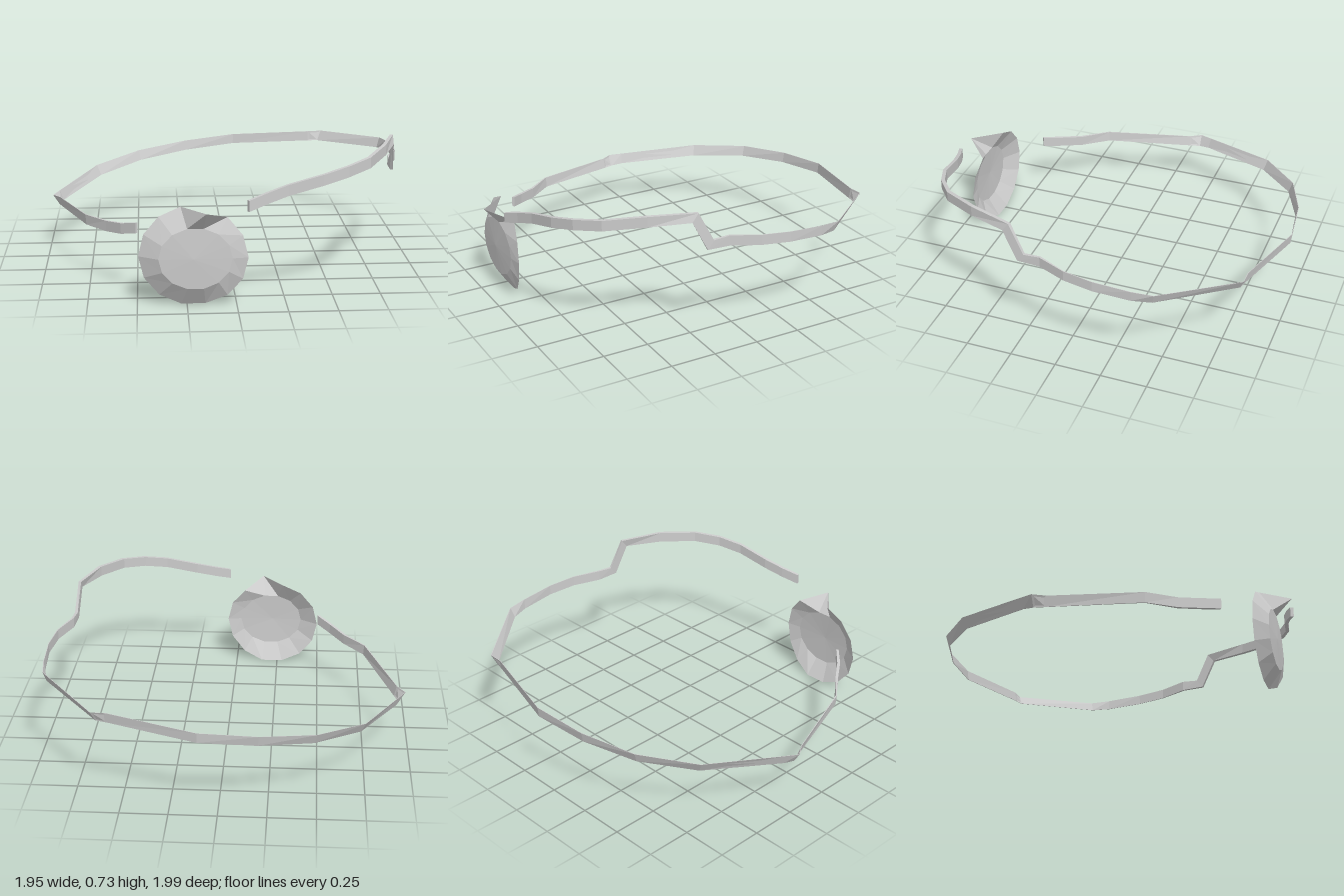
import * as THREE from 'three';

// Builds a faceted surface from a list of quads given as corner points
function facets(quads, material, name) {
  const pos = [];
  for (const [a, b, c, d] of quads) {
    for (const p of [a, b, c, a, c, d]) pos.push(...p);
  }
  const geo = new THREE.BufferGeometry();
  geo.setAttribute('position', new THREE.Float32BufferAttribute(pos, 3));
  geo.computeVertexNormals();
  const mesh = new THREE.Mesh(geo, material);
  mesh.name = name;
  return mesh;
}

// Band stations: x, z, bottom height, outward lean of the top, thickness, slant of the top in z
const STATIONS = [
  [0.05, 0.957, 0.508, 0, 0.018],
  [0.14, 0.92, 0.535, 0, 0.02],
  [0.25, 0.887, 0.567, 0, 0.02],
  [0.43, 0.86, 0.61, 0, 0.02],
  [0.56, 0.805, 0.637, 0, 0.02],
  [0.68, 0.71, 0.658, 0, 0.02],
  [0.79, 0.52, 0.68, 0, 0.02],
  [0.87, 0.315, 0.69, 0, 0.016, -0.035],
  [0.885, 0.235, 0.532, 0, 0.016, -0.035],
  [0.89, 0.11, 0.528, 0, 0.012],
  [0.95, -0.04, 0.52, 0, 0.005],
  [0.972, -0.2, 0.51, 0, 0.003],
  [0.96, -0.4, 0.495, 0.004, 0.003],
  [0.93, -0.5, 0.488, 0.022, 0.003],
  [0.62, -0.86, 0.455, 0.032, 0.003],
  [0.56, -0.874, 0.452, 0.008, 0.003],
  [0.1, -0.99, 0.415, 0.006, 0.003],
  [-0.2, -0.948, 0.385, 0.012, 0.003],
  [-0.48, -0.84, 0.35, 0.022, 0.003],
  [-0.72, -0.63, 0.31, 0.03, 0.003],
  [-0.925, -0.23, 0.263, 0.02, 0.003],
  [-0.94, -0.17, 0.255, 0.036, 0.003],
  [-0.92, -0.11, 0.258, 0.014, 0.003],
  [-0.765, 0.36, 0.285, 0.005, 0.006],
  [-0.655, 0.5, 0.288, 0, 0.014],
  [-0.575, 0.61, 0.305, 0, 0.016],
  [-0.5, 0.685, 0.328, 0, 0.014],
];

function bandSection(i) {
  const [x, z, y, lean, thick, slant = 0] = STATIONS[i];
  const a = STATIONS[Math.max(i - 1, 0)];
  const b = STATIONS[Math.min(i + 1, STATIONS.length - 1)];
  const n = new THREE.Vector2(a[1] - b[1], b[0] - a[0]).normalize();
  const at = (offset, dy, dz) => [x + n.x * offset, y + dy, z + n.y * offset + dz];
  const h = slant ? 0.045 : 0.056;
  return [
    at(-thick / 2, 0, 0), at(thick / 2, 0, 0),
    at(lean + thick / 2, h, slant), at(lean - thick / 2, h, slant),
  ];
}

function makeBand(material) {
  const sections = STATIONS.map((_, i) => bandSection(i));
  const quads = [sections[0], [...sections[sections.length - 1]].reverse()];
  for (let i = 0; i + 1 < sections.length; i++) {
    for (let k = 0; k < 4; k++) {
      const m = (k + 1) % 4;
      quads.push([sections[i][k], sections[i + 1][k], sections[i + 1][m], sections[i][m]]);
    }
  }
  return facets(quads, material, 'headBand');
}

// Shallow fourteen-sided dish with one rim corner pulled forward and a raised right rim
function makeDish(material) {
  const SIDES = 14, CX = -0.218, CY = 0.255;
  const rim = [], ring = [], quads = [];
  for (let k = 0; k < SIDES; k++) {
    const a = (k / SIDES) * Math.PI * 2;
    const x = CX + 0.275 * Math.cos(a);
    const raise = Math.max(0, x + 0.15) * 0.25;
    rim.push([x, CY + 0.26 * Math.sin(a), k === 3 ? 0.995 : 0.845 + raise]);
    ring.push([CX + 0.01 + 0.185 * Math.cos(a), CY + 0.16 * Math.sin(a), 0.909]);
  }
  const centre = [CX, CY, 0.917];
  for (let k = 0; k < SIDES; k++) {
    const m = (k + 1) % SIDES;
    quads.push([rim[k], rim[m], ring[m], ring[k]]);
    quads.push([centre, ring[k], ring[m], centre]);
  }
  return facets(quads, material, 'dish');
}

export function createModel() {
  const grey = new THREE.MeshStandardMaterial({
    color: 0xcccccc, side: THREE.DoubleSide, flatShading: true,
  });
  grey.name = 'light grey';
  const group = new THREE.Group();
  group.name = 'headMirror';
  group.add(makeBand(grey), makeDish(grey));
  return group;
}
